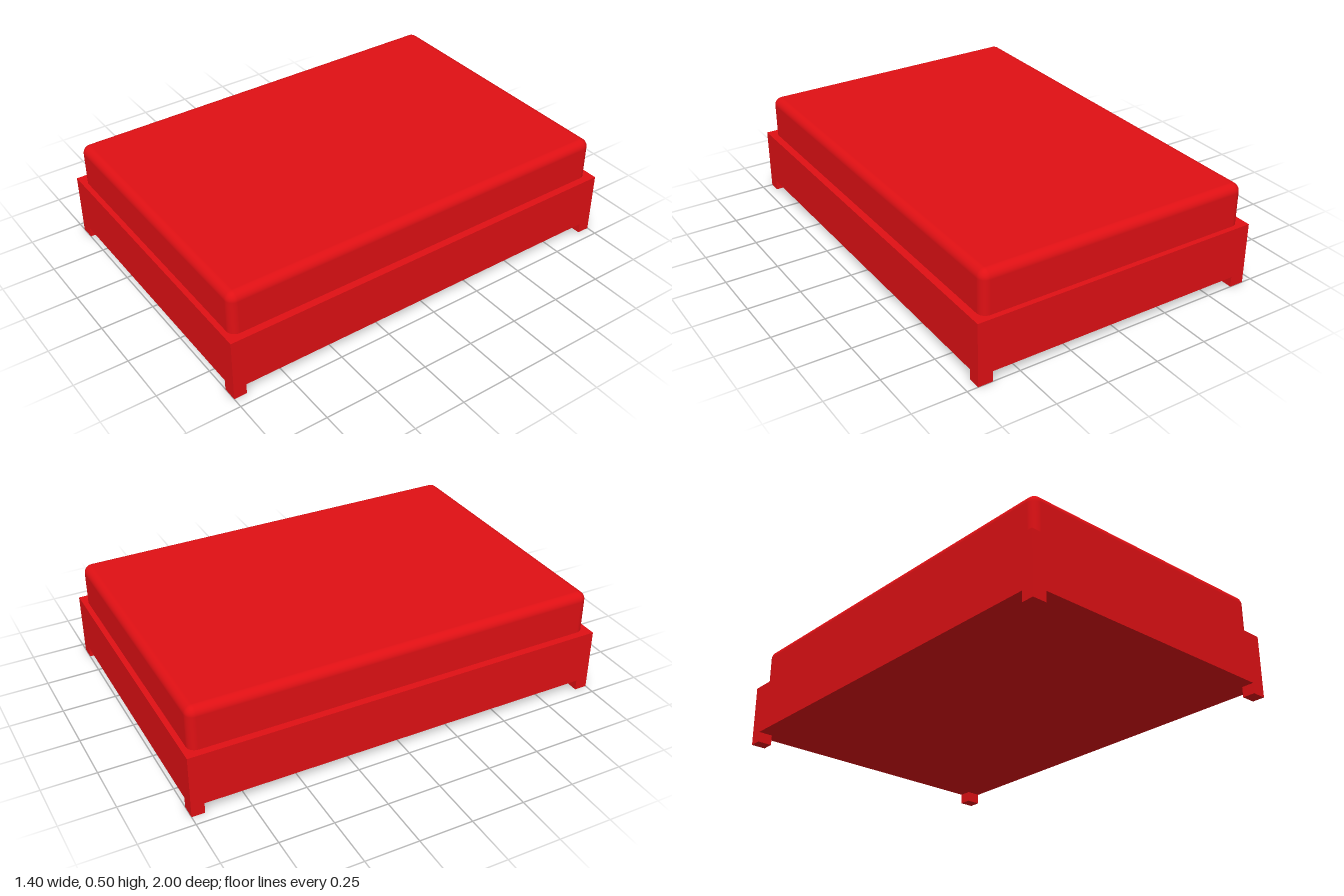
import * as THREE from 'three';
import { RoundedBoxGeometry } from 'three/addons/geometries/RoundedBoxGeometry.js';

const WIDTH = 1.4, LENGTH = 2, LEG_H = 0.05, BASE_TOP = 0.3, TOP = 0.5;

export function createModel() {
  const bed = new THREE.Group();
  bed.name = 'bed';
  const red = new THREE.MeshStandardMaterial({ color: 0xe01014 });

  const add = (name, geometry, x, y, z) => {
    const mesh = new THREE.Mesh(geometry, red);
    mesh.name = name;
    mesh.position.set(x, y, z);
    bed.add(mesh);
  };

  // Box base
  const baseH = BASE_TOP - LEG_H;
  add('base', new THREE.BoxGeometry(WIDTH, baseH, LENGTH), 0, LEG_H + baseH / 2, 0);

  // Four short corner legs
  const legW = 0.07, legD = 0.06;
  const legGeometry = new THREE.BoxGeometry(legW, LEG_H, legD);
  for (const sx of [-1, 1]) {
    for (const sz of [-1, 1]) {
      const name = (sz > 0 ? 'front' : 'back') + (sx > 0 ? 'Left' : 'Right') + 'Leg';
      add(name, legGeometry, sx * (WIDTH - legW) / 2, LEG_H / 2, sz * (LENGTH - legD) / 2);
    }
  }

  // Mattress: rounded top and upright edges, lower rounding flattened onto the base
  const r = 0.04;
  const mattressH = TOP - BASE_TOP + r;
  const mattress = new RoundedBoxGeometry(1.33, mattressH, 1.95, 5, r);
  const p = mattress.attributes.position;
  const floor = r - mattressH / 2;
  for (let i = 0; i < p.count; i++) p.setY(i, Math.max(p.getY(i), floor));
  add('mattress', mattress, 0, TOP - mattressH / 2, 0);

  return bed;
}
